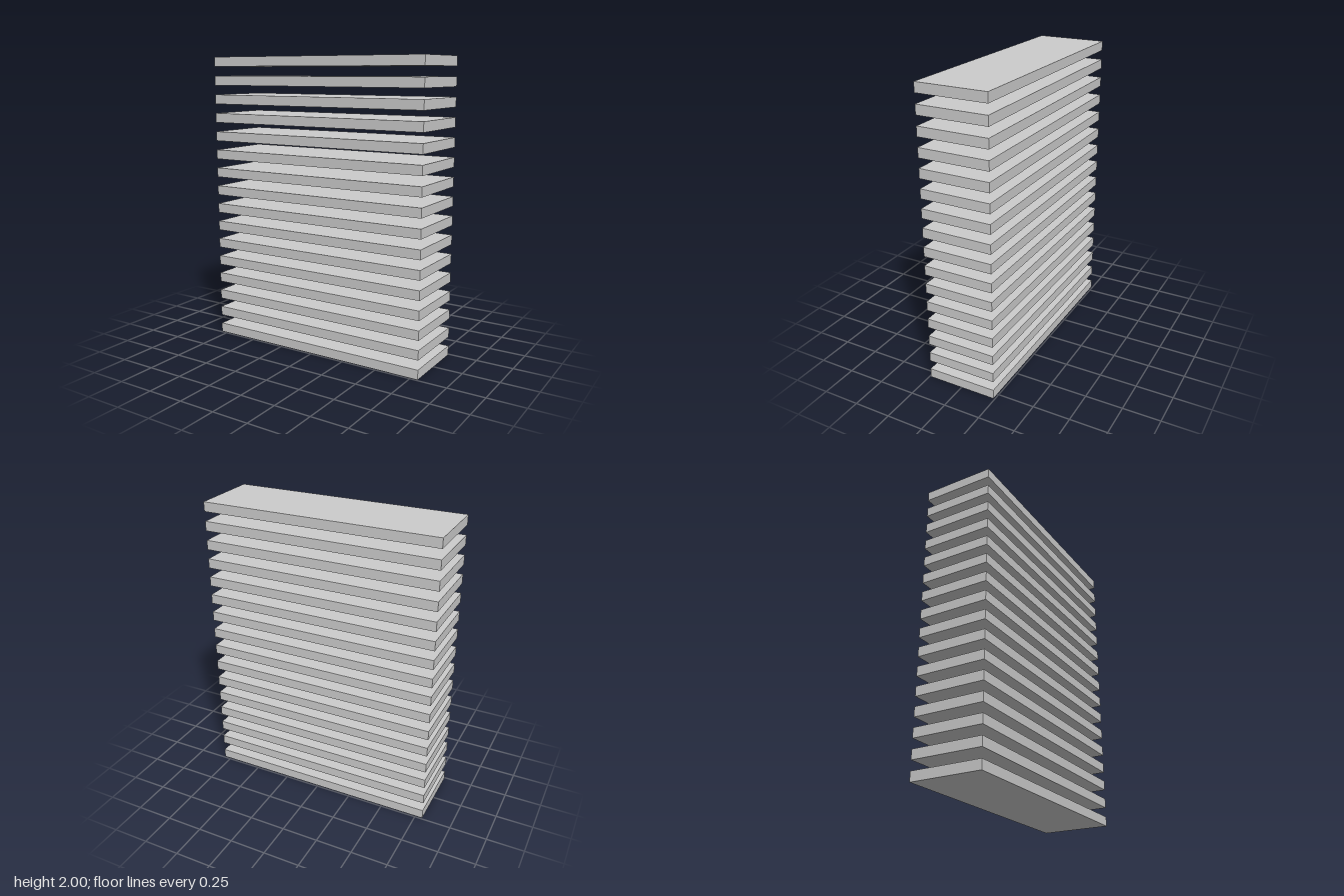
import * as THREE from 'three';

export function createModel() {
  const model = new THREE.Group();
  model.name = 'slatStack';

  const count = 16;
  const thickness = 2 / (2 * count - 1); // gaps are as tall as the slats
  const geometry = new THREE.BoxGeometry(1.6, thickness, 0.48);
  const material = new THREE.MeshStandardMaterial({ color: 0xcccccc });

  // Evenly spaced horizontal slats, from the ground up
  for (let i = 0; i < count; i++) {
    const slat = new THREE.Mesh(geometry, material);
    slat.name = `slat${i + 1}`;
    slat.position.y = thickness * (2 * i + 0.5);
    model.add(slat);
  }
  return model;
}
